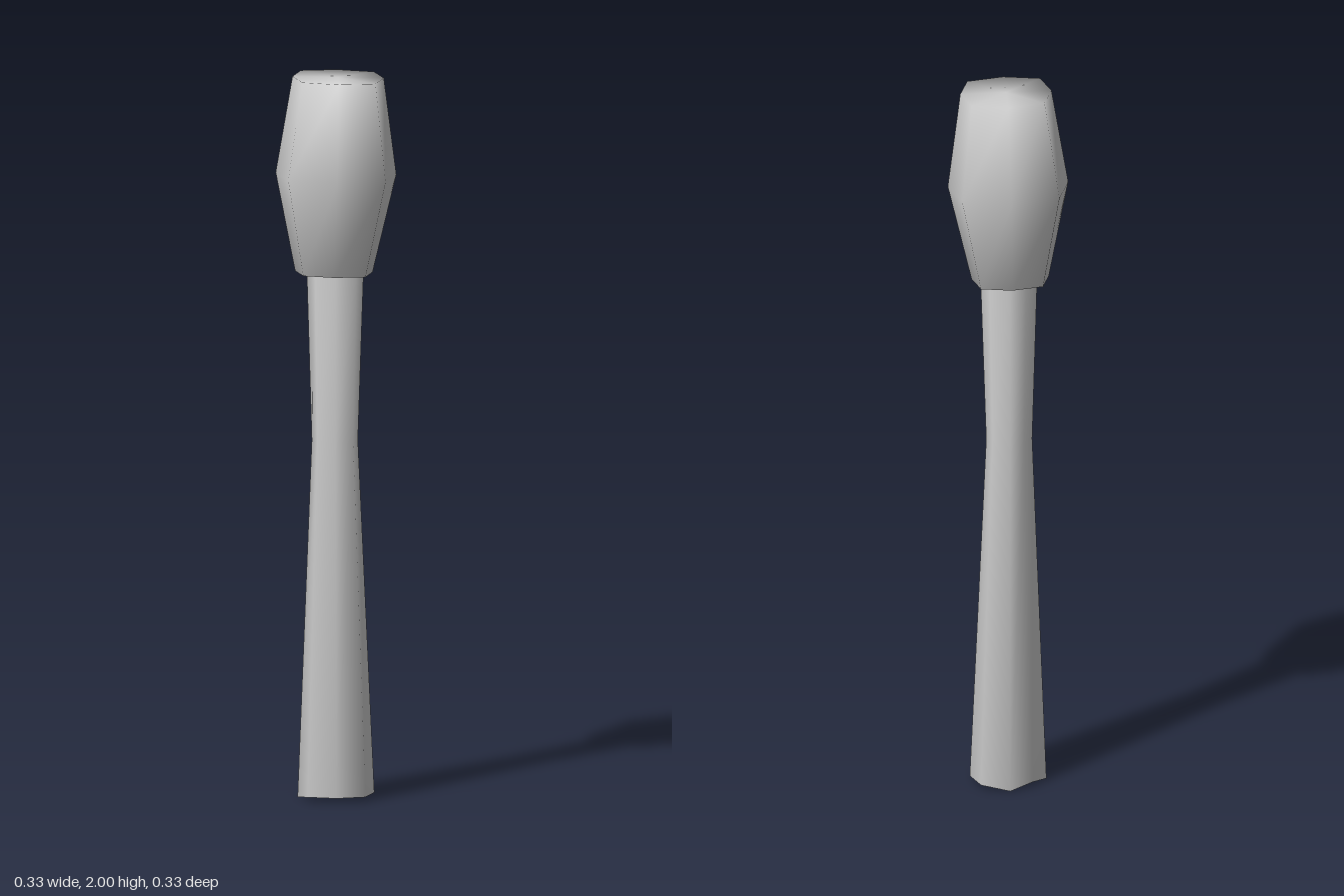
import * as THREE from 'three';

// Eight-sided ring with squarish corners; mid = reach of the side points, corner = reach of the corner points
function ring(y, midX, midZ, cornerX, cornerZ, cx = 0, cz = 0) {
  const points = [];
  for (let i = 0; i < 8; i++) {
    const a = i * Math.PI / 4;
    const isCorner = i % 2 === 1;
    const sx = Math.round(Math.cos(a)), sz = Math.round(Math.sin(a));
    points.push(new THREE.Vector3(
      cx + sx * (isCorner ? cornerX : midX), y, cz + sz * (isCorner ? cornerZ : midZ)));
  }
  return points;
}

// Smooth closed skin over rings listed from bottom to top
function loft(rings) {
  const n = rings[0].length, last = rings.length - 1;
  const points = rings.flat();
  const centre = r => r.reduce((s, p) => s.add(p), new THREE.Vector3()).divideScalar(n);
  points.push(centre(rings[0]), centre(rings[last]));
  const bottom = points.length - 2, top = points.length - 1;
  const index = [];
  for (let i = 0; i < n; i++) {
    const j = (i + 1) % n;
    for (let k = 0; k < last; k++) {
      const a = k * n + i, b = k * n + j;
      index.push(a, a + n, b, b, a + n, b + n);
    }
    index.push(bottom, i, j, top, last * n + j, last * n + i);
  }
  const geometry = new THREE.BufferGeometry().setFromPoints(points);
  geometry.setIndex(index);
  geometry.computeVertexNormals();
  return geometry;
}

export function createModel() {
  const group = new THREE.Group();
  const material = new THREE.MeshStandardMaterial({ color: 0xcccccc });
  const add = (name, geometry) => {
    const mesh = new THREE.Mesh(geometry, material);
    mesh.name = name;
    group.add(mesh);
    return mesh;
  };

  // Handle: waisted shaft flaring towards the foot
  const shaft = [
    ring(0.012, 0.105, 0.098, 0.079, 0.077, 0, -0.005),
    ring(0.99, 0.063, 0.061, 0.049, 0.047, -0.003, -0.005),
    ring(1.5, 0.079, 0.071, 0.057, 0.054, -0.002, -0.005),
  ];
  // Worn back left corner and slightly uneven foot
  for (const r of shaft) {
    r[5].x *= 0.8;
    r[5].z *= 0.8;
  }
  shaft[0][4].y = shaft[0][6].y = 0;
  add('handle', loft(shaft));

  // Head: barrel-shaped block, leaning very slightly
  const head = add('head', loft([
    ring(-0.272, 0.106, 0.106, 0.085, 0.085),
    ring(0, 0.165, 0.165, 0.133, 0.133),
    ring(0.267, 0.125, 0.125, 0.1, 0.1),
  ]));
  head.position.y = 1.73;
  head.rotation.z = -0.022;

  return group;
}
